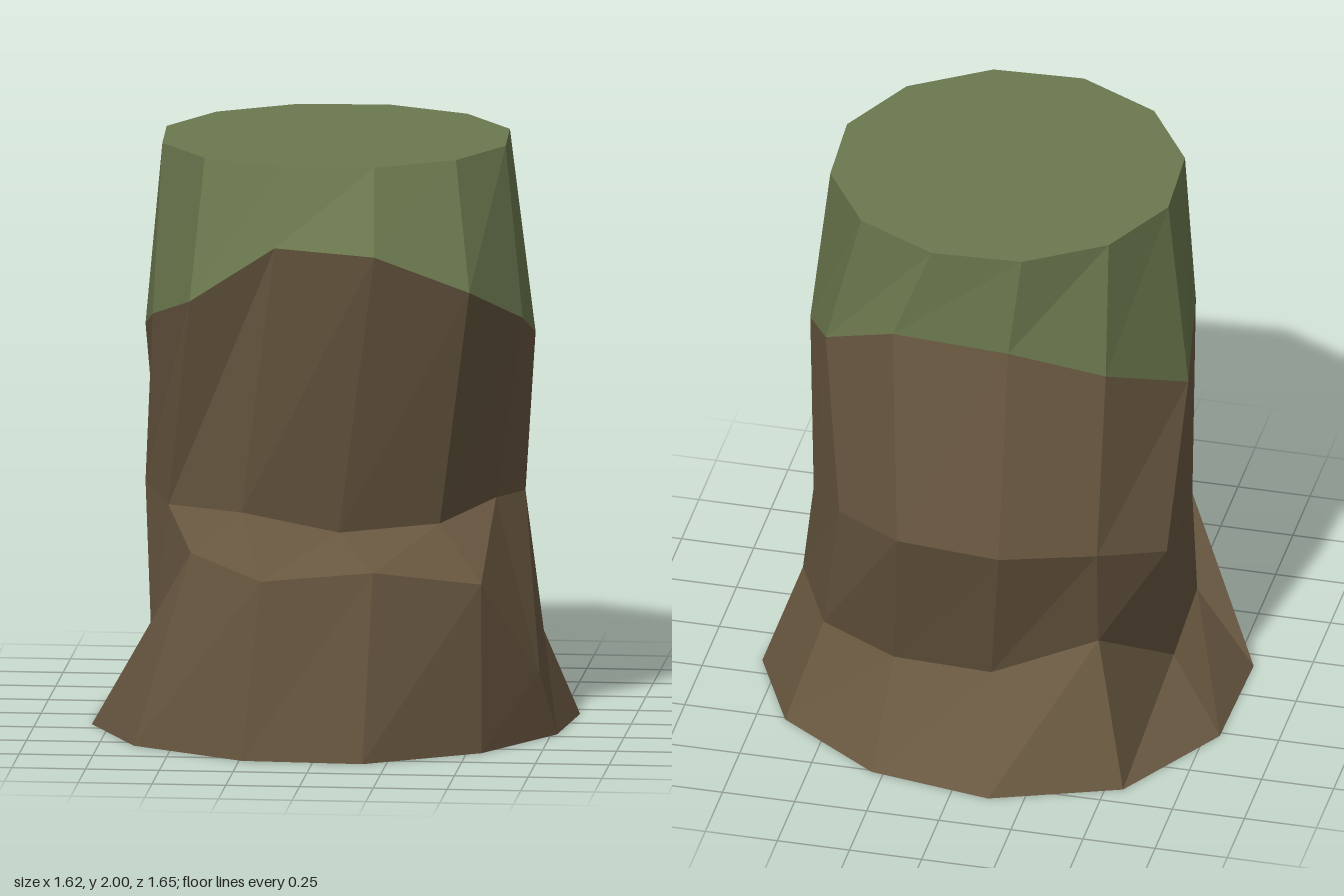
import * as THREE from 'three';

const SIDES = 12;

// Cross-sections of the stump, [x, y, z] per corner, running from +x towards +z
const foot = [
  [0.77, 0.21], [0.55, 0.58], [0.17, 0.82], [-0.24, 0.80], [-0.63, 0.56], [-0.81, 0.18],
  [-0.80, -0.27], [-0.56, -0.67], [-0.13, -0.83], [0.29, -0.76], [0.65, -0.51], [0.81, -0.17],
].map(([x, z]) => [x, 0, z]);

const flare = [
  [0.72, 0.23, 0.31], [0.55, 0.58, 0.59], [0.20, 0.645, 0.76], [-0.18, 0.61, 0.77],
  [-0.44, 0.66, 0.53], [-0.60, 0.24, 0.24], [-0.60, 0.19, -0.10], [-0.43, 0.46, -0.48],
  [-0.07, 0.31, -0.53], [0.27, 0.315, -0.52], [0.55, 0.32, -0.37], [0.70, 0.31, -0.04],
];

const waist = [
  [0.55, 0.785, 0.08], [0.39, 0.75, 0.39], [0.06, 0.735, 0.51], [-0.27, 0.80, 0.52],
  [-0.54, 0.78, 0.29], [-0.65, 0.80, -0.04], [-0.64, 0.78, -0.37], [-0.45, 0.87, -0.59],
  [-0.14, 0.89, -0.72], [0.21, 0.92, -0.73], [0.46, 0.87, -0.52], [0.62, 0.755, -0.22],
];

const mossLine = [
  [0.66, 1.44, 0.28], [0.51, 1.58, 0.59], [0.20, 1.72, 0.72], [-0.14, 1.74, 0.69],
  [-0.44, 1.53, 0.57], [-0.60, 1.42, 0.22], [-0.66, 1.32, -0.14], [-0.45, 1.51, -0.46],
  [-0.14, 1.63, -0.58], [0.26, 1.65, -0.58], [0.54, 1.47, -0.38], [0.67, 1.33, -0.06],
];

// Regular flat top
const rim = Array.from({ length: SIDES }, (_, k) => {
  const a = THREE.MathUtils.degToRad(12 + k * 30);
  return [0.6 * Math.cos(a), 2, 0.6 * Math.sin(a)];
});

// Joins successive rings with quads
function skin(rings) {
  const p = [];
  for (let r = 0; r + 1 < rings.length; r++) {
    const lo = rings[r], hi = rings[r + 1];
    for (let k = 0; k < SIDES; k++) {
      const n = (k + 1) % SIDES;
      p.push(...lo[k], ...hi[k], ...lo[n], ...lo[n], ...hi[k], ...hi[n]);
    }
  }
  return p;
}

// Flat lid over one ring
function cap(ring, up) {
  const p = [], c = [0, ring[0][1], 0];
  for (let k = 0; k < SIDES; k++) {
    const a = ring[k], b = ring[(k + 1) % SIDES];
    p.push(...c, ...(up ? b : a), ...(up ? a : b));
  }
  return p;
}

function part(name, positions, material) {
  const g = new THREE.BufferGeometry();
  g.setAttribute('position', new THREE.Float32BufferAttribute(positions, 3));
  g.computeVertexNormals(); // unshared corners give flat facets
  const mesh = new THREE.Mesh(g, material);
  mesh.name = name;
  return mesh;
}

export function createModel() {
  const bark = new THREE.MeshStandardMaterial({ color: 0x685740 });
  bark.name = 'bark brown';
  const moss = new THREE.MeshStandardMaterial({ color: 0x6b784e });
  moss.name = 'moss green';

  const model = new THREE.Group();
  model.name = 'mossyStump';
  model.add(
    part('trunk', skin([foot, flare, waist, mossLine]), bark),
    part('trunkUnderside', cap(foot, false), bark),
    part('mossBand', skin([mossLine, rim]), moss),
    part('mossTop', cap(rim, true), moss),
  );
  return model;
}
